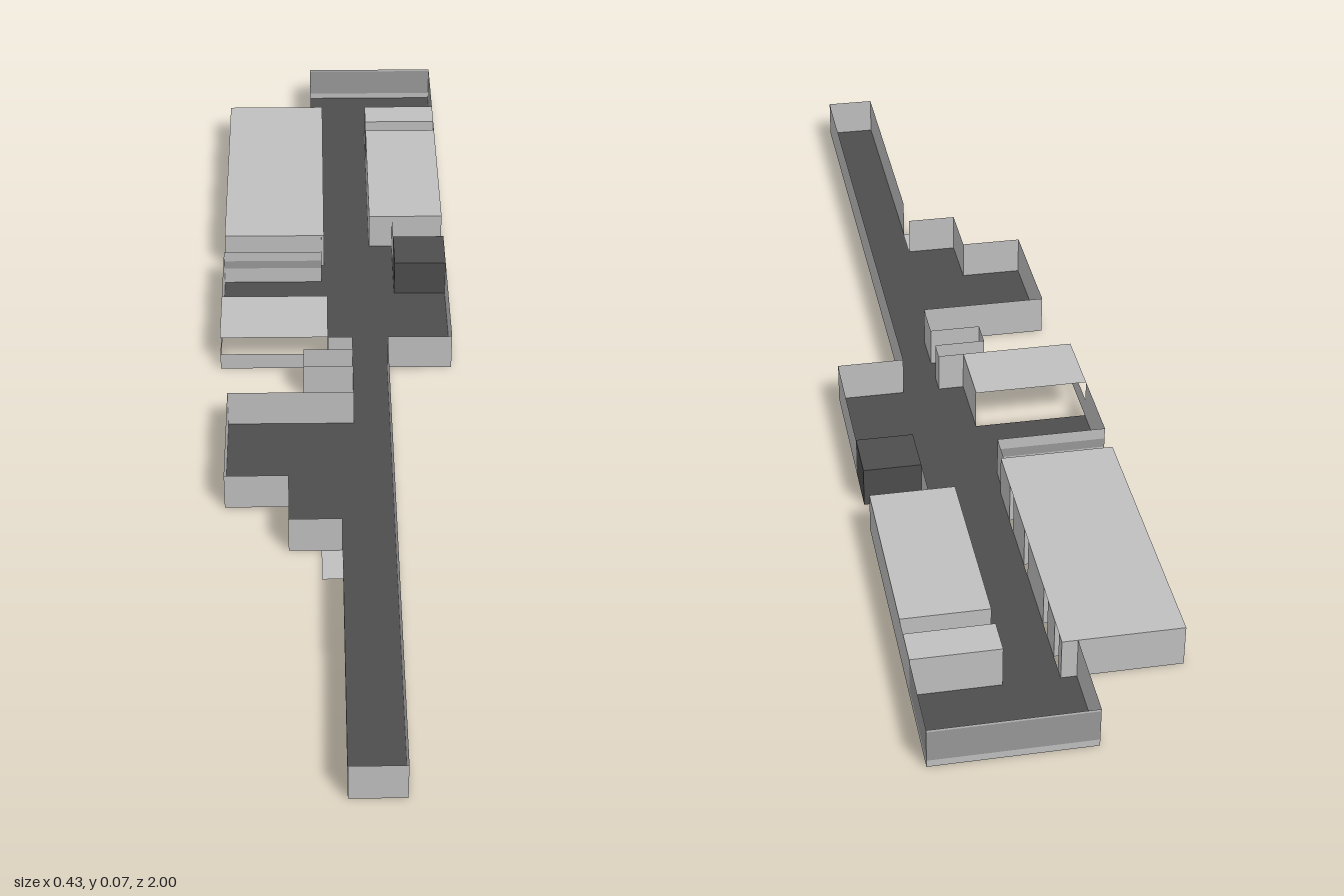
import * as THREE from 'three';

const H = 0.071; // storey height

export function createModel() {
  const model = new THREE.Group();
  const make = (name, color) => {
    const m = new THREE.MeshStandardMaterial({ color, side: THREE.DoubleSide });
    m.name = name;
    return m;
  };
  const light = make('lightGrey', 0xc0c0c0);
  const dark = make('darkGrey', 0x4d4d4d);
  const glass = make('glassGrey', 0x999999);

  const add = (name, geo, mat) => {
    const mesh = new THREE.Mesh(geo, mat);
    mesh.name = name;
    model.add(mesh);
    return mesh;
  };

  // Horizontal slab face from an outline of [x, z] corners
  const slab = (name, pts, y, mat) => {
    const shape = new THREE.Shape(pts.map(([x, z]) => new THREE.Vector2(x, z)));
    add(name, new THREE.ShapeGeometry(shape).rotateX(Math.PI / 2), mat).position.y = y;
  };
  const rect = (x0, z0, x1, z1) => [[x0, z0], [x1, z0], [x1, z1], [x0, z1]];

  // Thin upright walls along a path of [x, z] corners
  const walls = (name, pts, y0 = 0, y1 = H, mat = light) => {
    const pos = [];
    for (let i = 0; i + 1 < pts.length; i++) {
      const [ax, az] = pts[i], [bx, bz] = pts[i + 1];
      pos.push(ax, y0, az, bx, y0, bz, bx, y1, bz, ax, y0, az, bx, y1, bz, ax, y1, az);
    }
    const geo = new THREE.BufferGeometry();
    geo.setAttribute('position', new THREE.Float32BufferAttribute(pos, 3));
    geo.computeVertexNormals();
    add(name, geo, mat);
  };

  // Connected floor of corridors and open rooms
  slab('floor', [
    [-0.045, -1], [0.213, -1], [0.213, -0.845], [0.07, -0.845], [0.07, -0.785],
    [0.213, -0.785], [0.213, -0.75], [0.07, -0.75], [0.07, -0.43], [0.115, -0.43],
    [0.115, -0.36], [0.213, -0.36], [0.213, -0.037], [0.095, -0.037], [0.095, 1],
    [0.005, 1], [0.005, 0.46], [-0.085, 0.46], [-0.085, 0.35], [-0.195, 0.35],
    [-0.195, 0.125], [0.03, 0.125], [0.03, 0.05], [-0.06, 0.05], [-0.06, 0],
    [0.03, 0], [0.03, -0.037], [-0.015, -0.037], [-0.015, -0.165], [-0.213, -0.165],
    [-0.213, -0.31], [-0.025, -0.31], [-0.025, -0.365], [-0.02, -0.365],
    [-0.02, -0.845], [-0.045, -0.845],
  ], 0, dark);
  slab('doorstep', rect(-0.03, 0.46, 0.005, 0.53), 0, light);

  // Ceilings over the closed rooms
  slab('rightRoomCeiling', rect(-0.213, -0.845, -0.02, -0.365), H, light);
  slab('leftRoomCeiling', rect(0.07, -0.75, 0.213, -0.43), H, light);
  slab('storeCeiling', rect(0.07, -0.845, 0.213, -0.785), H, light);
  slab('porchCeiling', rect(-0.213, -0.165, -0.015, -0.037), H, light);

  // Long front corridor and its side rooms
  walls('corridorWall', [[0.213, -0.27], [0.213, -0.037], [0.095, -0.037], [0.095, 1],
    [0.005, 1], [0.005, 0.53]]);
  walls('sideRoomWall', [[0.005, 0.46], [-0.085, 0.46], [-0.085, 0.35], [-0.195, 0.35],
    [-0.195, 0.125], [0.03, 0.125], [0.03, 0.05], [-0.06, 0.05], [-0.06, 0], [0.03, 0],
    [0.03, -0.037], [-0.015, -0.037], [-0.015, -0.165]]);

  // Middle hall, with a window in its rear wall
  walls('hallSideWall', [[-0.213, -0.165], [-0.213, -0.31]]);
  const hallRear = [[-0.213, -0.31], [-0.025, -0.31]];
  walls('hallRearWall', hallRear, 0, 0.033);
  walls('hallWindow', hallRear, 0.033, 0.05, glass);
  walls('hallLintel', hallRear, 0.05, H);
  walls('hallPassageWall', [[-0.025, -0.31], [-0.025, -0.365], [-0.02, -0.365]]);
  walls('alcoveWall', [[0.07, -0.43], [0.115, -0.43], [0.115, -0.36]]);

  // Porch parapet under its raised ceiling
  walls('porchParapet', [[-0.213, -0.165], [-0.213, -0.037], [-0.015, -0.037]], 0, 0.033);

  // Solid dark block beside the hall
  add('darkBlock', new THREE.BoxGeometry(0.098, H, 0.09), dark).position.set(0.164, H / 2, -0.315);

  // Right room, with small door recesses along the passage
  const side = [[-0.02, -0.365]];
  for (const z of [-0.46, -0.58, -0.73, -0.81]) {
    side.push([-0.02, z + 0.015], [-0.032, z + 0.015], [-0.032, z - 0.015], [-0.02, z - 0.015]);
  }
  walls('rightRoomWall', [...side, [-0.02, -0.845], [-0.213, -0.845], [-0.213, -0.365], [-0.02, -0.365]]);

  // Left room and store
  walls('leftRoomWall', [[0.07, -0.43], [0.213, -0.43], [0.213, -0.75], [0.07, -0.75], [0.07, -0.43]]);
  walls('storeWall', [[0.07, -0.785], [0.213, -0.785], [0.213, -0.845], [0.07, -0.845], [0.07, -0.785]]);
  walls('recessWall', [[0.213, -0.785], [0.213, -0.75]]);

  // Rear room with wide windows
  const rear = [[0.213, -0.845], [0.213, -1], [-0.045, -1]];
  walls('rearSill', rear, 0, 0.012);
  walls('rearWindow', rear, 0.012, 0.067, glass);
  walls('rearLintel', rear, 0.067, H);
  walls('rearSideWall', [[-0.045, -1], [-0.045, -0.845]]);

  return model;
}
